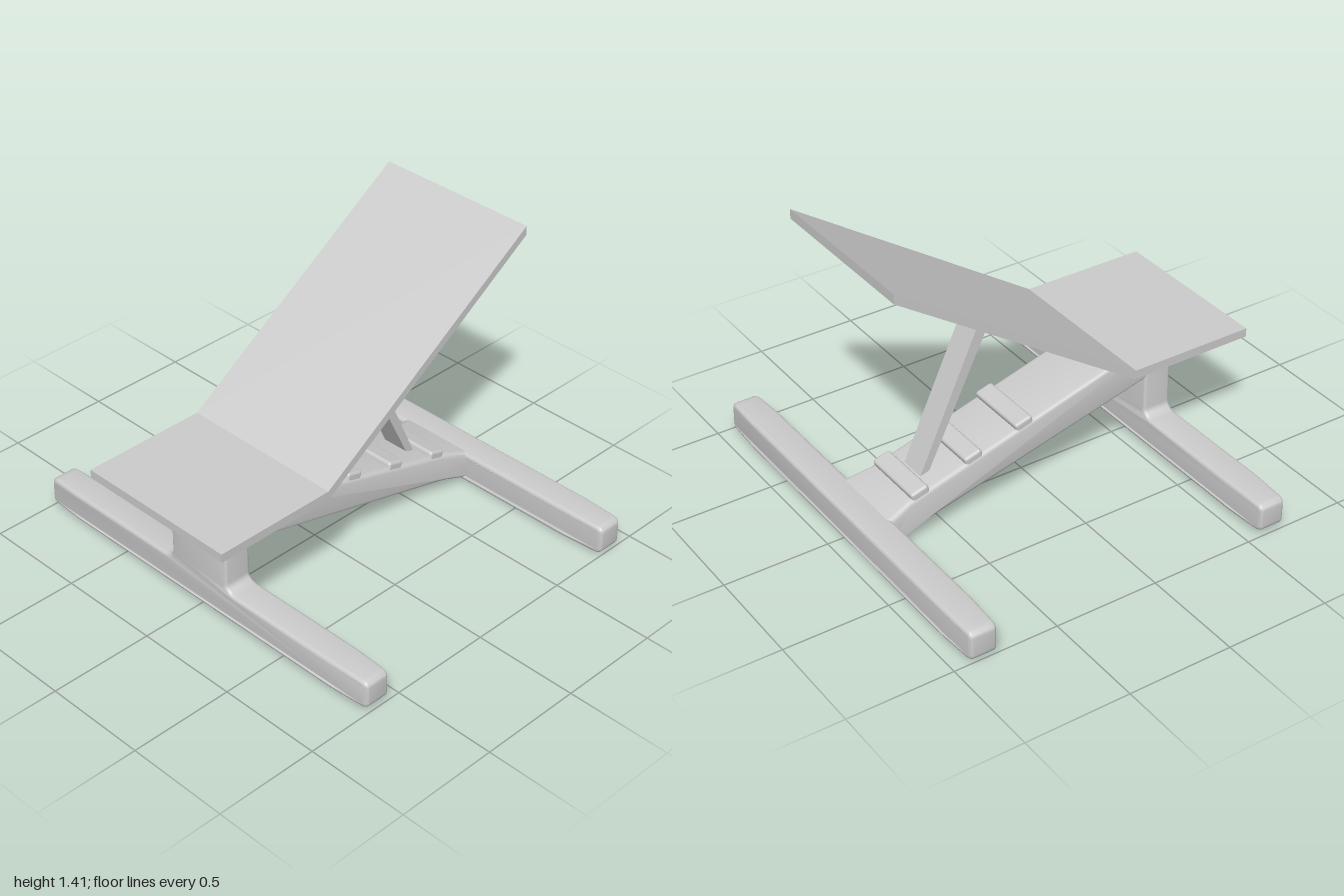
import * as THREE from 'three';
import { toCreasedNormals } from 'three/addons/utils/BufferGeometryUtils.js';
import { RoundedBoxGeometry } from 'three/addons/geometries/RoundedBoxGeometry.js';

const material = new THREE.MeshStandardMaterial({ color: 0xcccccc });

function addMesh(parent, name, geometry) {
  const mesh = new THREE.Mesh(geometry, material);
  mesh.name = name;
  parent.add(mesh);
  return mesh;
}

const polygon = (points) => new THREE.Shape(points.map(([a, b]) => new THREE.Vector2(a, b)));

// Extrude a profile, centred on its depth, with an edge rounding that stays inside the outline
function extrude(shape, depth, round = 0) {
  const geometry = new THREE.ExtrudeGeometry(shape, {
    depth: depth - 2 * round, curveSegments: 6, bevelEnabled: round > 0,
    bevelThickness: round, bevelSize: round, bevelOffset: -round, bevelSegments: 4,
  });
  return geometry.translate(0, 0, -(depth - 2 * round) / 2);
}

// Profile drawn in (z, y), extruded across x
const extrudeAcross = (points, width, round) =>
  extrude(polygon(points), width, round).rotateY(-Math.PI / 2);

// Outline of a ground bar, with an optional filleted post rising from its middle
function barShape(bottom, top, postTop) {
  const s = new THREE.Shape();
  s.moveTo(-0.96, bottom + 0.005);
  s.lineTo(-0.8, bottom);
  s.lineTo(0.8, bottom);
  s.lineTo(0.96, bottom + 0.005);
  s.quadraticCurveTo(1, bottom + 0.005, 1, bottom + 0.035);
  s.lineTo(1, top - 0.035);
  s.quadraticCurveTo(1, top - 0.005, 0.96, top - 0.005);
  s.lineTo(0.8, top);
  if (postTop) {
    s.lineTo(0.22, top);
    s.quadraticCurveTo(0.17, top + 0.005, 0.17, top + 0.04);
    s.lineTo(0.17, postTop - 0.03);
    s.quadraticCurveTo(0.17, postTop - 0.008, 0.14, postTop - 0.005);
    s.lineTo(0.08, postTop);
    s.lineTo(-0.08, postTop);
    s.lineTo(-0.14, postTop - 0.005);
    s.quadraticCurveTo(-0.17, postTop - 0.008, -0.17, postTop - 0.03);
    s.lineTo(-0.17, top + 0.04);
    s.quadraticCurveTo(-0.17, top + 0.005, -0.22, top);
  }
  s.lineTo(-0.8, top);
  s.lineTo(-0.96, top - 0.005);
  s.quadraticCurveTo(-1, top - 0.005, -1, top - 0.035);
  s.lineTo(-1, bottom + 0.035);
  s.quadraticCurveTo(-1, bottom + 0.005, -0.96, bottom + 0.005);
  return s;
}

// Extrude a bar and narrow it slightly toward both ends
function barGeometry(shape) {
  const geometry = extrude(shape, 0.145, 0.018);
  const p = geometry.attributes.position;
  for (let i = 0; i < p.count; i++) {
    const t = Math.max(0, Math.abs(p.getX(i)) - 0.8) / 0.2;
    p.setZ(i, p.getZ(i) * (1 - 0.13 * t * t));
  }
  return toCreasedNormals(geometry, 0.7);
}

export function createModel() {
  const model = new THREE.Group();
  model.name = 'reclinerChair';

  // Bent panel: flat seat and sloping backrest
  addMesh(model, 'seatAndBackrest', extrudeAcross([
    [0.925, 0.58], [0.925, 0.622], [0.32, 0.622],
    [-0.87, 1.412], [-0.87, 1.367], [0.315, 0.58],
  ].reverse(), 0.814));

  // Ground bars; the front one carries the seat post
  addMesh(model, 'frontBarAndPost', barGeometry(barShape(0.015, 0.162, 0.578))).position.z = 0.625;
  addMesh(model, 'rearBar', barGeometry(barShape(0, 0.152))).position.z = -0.855;

  // Sloping beam joining the post to the rear bar, flared where it meets the bar
  const beam = extrudeAcross([
    [0.62, 0.37], [0.62, 0.56], [-0.68, 0.187], [-0.83, 0.144], [-0.83, 0], [-0.68, 0.036],
  ].reverse(), 0.335, 0.022);
  const p = beam.attributes.position;
  for (let i = 0; i < p.count; i++) {
    if (p.getZ(i) < -0.75) p.setX(i, p.getX(i) * 1.2);
  }
  addMesh(model, 'slopingBeam', toCreasedNormals(beam, 0.7));

  // Three stop ridges along the top of the beam
  const slope = 0.28;
  for (const z of [-0.085, -0.347, -0.62]) {
    const ridge = addMesh(model, 'stopRidge', new RoundedBoxGeometry(0.325, 0.075, 0.09, 3, 0.014));
    ridge.position.set(0, 0.382 + z * 0.287 - 0.011, z);
    ridge.rotation.x = -slope;
  }

  // Prop strut resting against a ridge and holding up the backrest
  addMesh(model, 'propStrut', extrudeAcross([
    [-0.52, 0.235], [-0.57, 0.213], [-0.232, 0.95], [-0.185, 0.92],
  ].reverse(), 0.13));

  return model;
}
